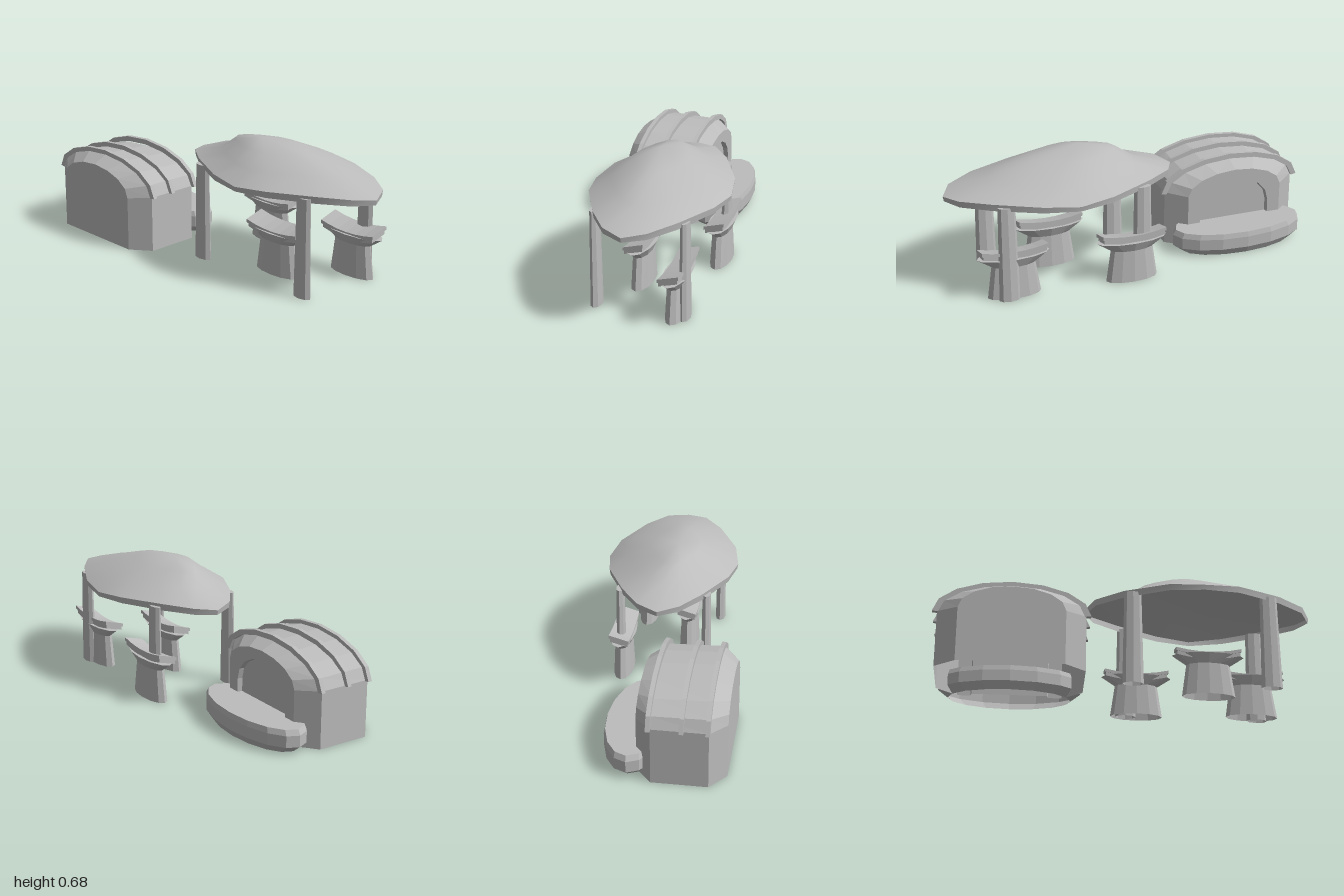
import * as THREE from 'three';
import { toCreasedNormals } from 'three/addons/utils/BufferGeometryUtils.js';

const stone = new THREE.MeshStandardMaterial({ color: 0xbcbcbc, side: THREE.DoubleSide });
stone.name = 'stone grey';

// Skin over closed rings; each ring runs counterclockwise seen from the direction of travel.
// openStart leaves out the first cap, openEdge the strip between each ring's last and first point.
function loft(name, rings, { openStart = false, openEdge = false, tip = null, crease = 0 } = {}) {
  const pos = [];
  const tri = (a, b, c) => pos.push(...a, ...b, ...c);
  const middle = r => [0, 1, 2].map(k => r.reduce((s, p) => s + p[k], 0) / r.length);
  const n = rings[0].length;
  for (let s = 0; s < rings.length - 1; s++) {
    const a = rings[s], b = rings[s + 1];
    for (let i = 0; i < (openEdge ? n - 1 : n); i++) {
      const j = (i + 1) % n;
      tri(a[i], a[j], b[j]);
      tri(a[i], b[j], b[i]);
    }
  }
  const first = rings[0], last = rings[rings.length - 1];
  const start = middle(first), end = tip || middle(last);
  for (let i = 0; i < n; i++) {
    const j = (i + 1) % n;
    if (!openStart) tri(first[j], first[i], start);
    tri(last[i], last[j], end);
  }
  const g = new THREE.BufferGeometry();
  g.setAttribute('position', new THREE.Float32BufferAttribute(pos, 3));
  g.computeVertexNormals();
  const mesh = new THREE.Mesh(crease ? toCreasedNormals(g, crease) : g, stone);
  mesh.name = name;
  return mesh;
}

// Horizontal oval ring
function oval(y, rx, rz, n, cx = 0, cz = 0) {
  return Array.from({ length: n }, (_, i) => {
    const a = i / n * Math.PI * 2;
    return [cx + rx * Math.cos(a), y, cz - rz * Math.sin(a)];
  });
}

// Upright arch: straight legs with a half oval on top
function arch(hw, spring, top) {
  const pts = [[hw, 0]];
  for (let i = 0; i <= 8; i++) {
    const a = i / 8 * Math.PI;
    pts.push([hw * Math.cos(a), spring + (top - spring) * Math.sin(a)]);
  }
  pts.push([-hw, 0]);
  return pts;
}

// Hollow vaulted hut with ribs, recessed rear opening and an oval rear counter
function makeHut() {
  const hut = new THREE.Group();
  hut.name = 'vaultedHut';
  const at = (z, ...a) => arch(...a).map(p => [p[0], p[1], z]);
  hut.add(loft('hutBody', [
    at(-0.02, 0.195, 0.2, 0.35),
    at(-0.045, 0.2, 0.2, 0.355),
    at(-0.045, 0.27, 0.29, 0.41),
    at(0.04, 0.375, 0.3, 0.445),
    at(0.32, 0.375, 0.3, 0.458),
    at(0.4, 0.27, 0.29, 0.415),
  ], { openEdge: true }));
  // Arched bands over the roof
  const v = p => new THREE.Vector2(p[0], p[1]);
  const outer = arch(0.4, 0.3, 0.478).slice(1, -1).map(v);
  const inner = arch(0.37, 0.296, 0.45).slice(1, -1).map(v).reverse();
  const band = new THREE.ExtrudeGeometry(new THREE.Shape([...outer, ...inner]), { depth: 0.022, bevelEnabled: false });
  for (const z of [0.316, 0.19, 0.031]) {
    const rib = new THREE.Mesh(band, stone);
    rib.name = 'roofRib';
    rib.position.z = z - 0.011;
    hut.add(rib);
  }
  const ring = (y, k) => oval(y, 0.37 * k, 0.16 * k, 16, 0, -0.08);
  hut.add(loft('rearCounter', [ring(0, 0.86), ring(0.04, 1), ring(0.1, 1), ring(0.128, 0.96)], { openStart: true }));
  hut.position.x = -0.6;
  return hut;
}

// Leaf-shaped hollow canopy with an off-centre peak
function makeCanopy() {
  const quarter = [[1, 0], [0.91, 0.31], [0.675, 0.6], [0.3, 0.91], [0, 1]];
  const ring = (y, cx, cz, rx, rz, wave = 0) => Array.from({ length: 16 }, (_, i) => {
    const m = i % 8, j = m > 4 ? 8 - m : m;
    const sx = i > 4 && i < 12 ? -1 : 1, sz = i < 8 ? -1 : 1;
    return [cx + sx * rx * quarter[j][0], y + wave * Math.sin(j / 4 * Math.PI), cz + sz * rz * quarter[j][1]];
  });
  return loft('canopy', [
    ring(0.488, 0.39, -0.045, 0.605, 0.35, 0.008),
    ring(0.514, 0.39, -0.045, 0.61, 0.355, 0.018),
    ring(0.58, 0.38, -0.045, 0.4, 0.258, 0.005),
    ring(0.644, 0.32, -0.018, 0.24, 0.137),
  ], { openStart: true, tip: [0.27, 0.68, 0], crease: 0.6 });
}

// Strip running along x between two height rules
function saddle(name, hw, hz, bottom, top) {
  const rings = [];
  for (let i = 0; i <= 6; i++) {
    const u = i / 3 - 1;
    rings.push([[-hz, bottom], [-hz, top], [hz, top], [hz, bottom]].map(([z, f]) => [u * hw, f(u, z), z]));
  }
  return loft(name, rings);
}

// Stool with a seat that curves up at both ends and tilts up to the rear
function makeStool(x, z) {
  const stool = new THREE.Group();
  stool.name = 'stool';
  const seatY = (u, z) => 0.231 + 0.021 * u * u - z * 0.28;
  stool.add(
    loft('stoolPedestal', [oval(0, 0.14, 0.053, 12), oval(0.175, 0.115, 0.045, 12), oval(0.226, 0.19, 0.067, 12)],
      { openStart: true }),
    saddle('seatSupport', 0.165, 0.047, (u, z) => seatY(u, z) - 0.022, (u, z) => seatY(u, z) + 0.002),
    saddle('seatCushion', 0.172, 0.053, seatY, (u, z) => seatY(u, z) + 0.018),
  );
  stool.position.set(x, 0, z);
  return stool;
}

export function createModel() {
  const model = new THREE.Group();
  model.name = 'hutAndShelter';
  model.add(makeHut(), makeCanopy());
  // Tapered posts at the four corners
  for (const x of [0.023, 0.737]) {
    for (const z of [0.183, -0.275]) {
      const post = loft('canopyPost', [oval(0, 0.055, 0.028, 8), oval(0.515, 0.045, 0.022, 8)], { openStart: true });
      post.position.set(x, 0, z);
      model.add(post);
    }
  }
  for (const [x, z] of [[0.08, -0.27], [0.43, 0.042], [0.7, -0.228]]) model.add(makeStool(x, z));
  return model;
}
